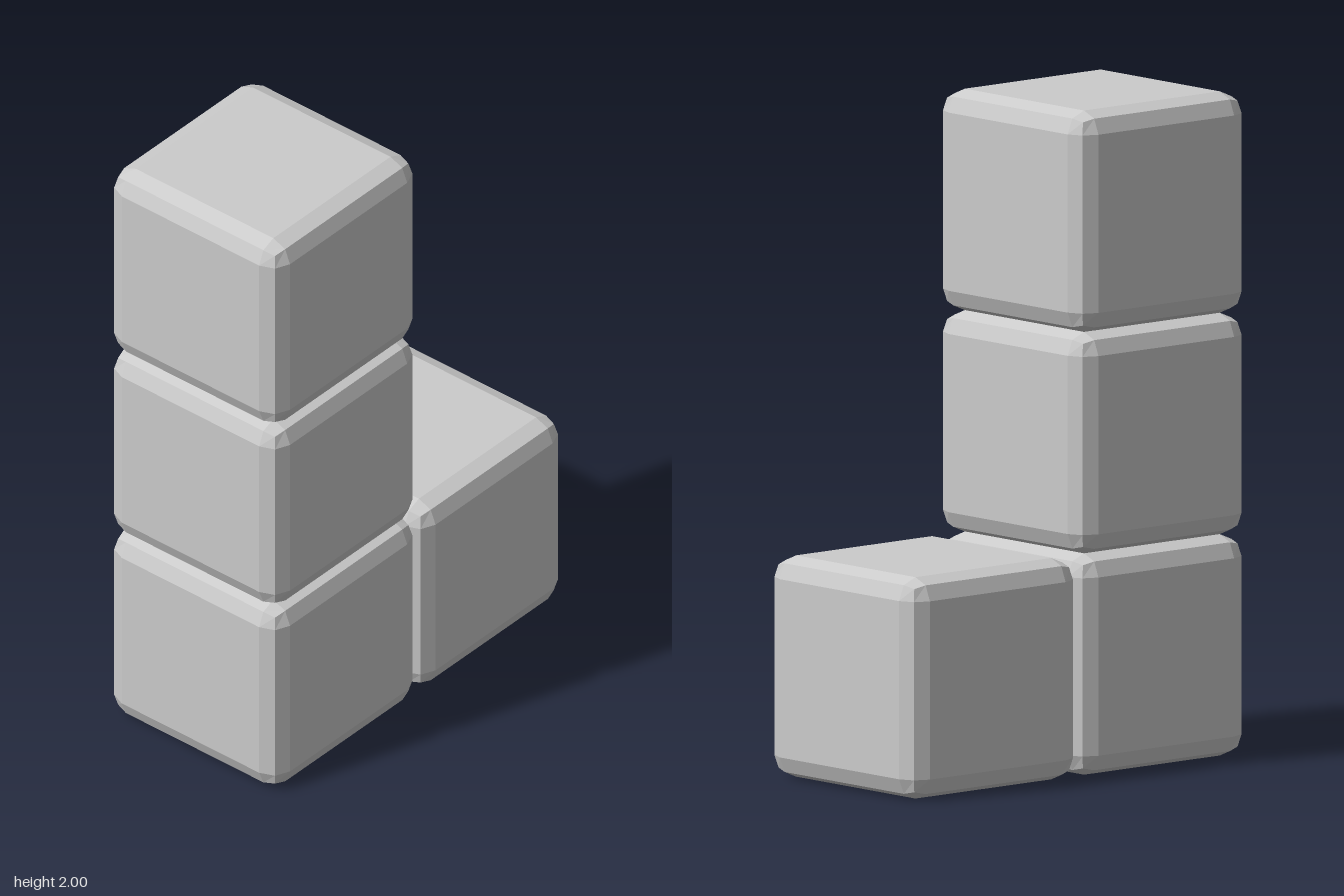
import * as THREE from 'three';
import { RoundedBoxGeometry } from 'three/addons/geometries/RoundedBoxGeometry.js';

const SIZE = 2 / 3;     // edge of one block
const BEVEL = 0.065;    // width of the two-step bevel

export function createModel() {
  const model = new THREE.Group();
  model.name = 'blockPiece';

  const material = new THREE.MeshStandardMaterial({ color: 0xcccccc, flatShading: true });

  // One faceted block shape shared by all four cubes
  const block = new RoundedBoxGeometry(SIZE, SIZE, SIZE, 1, BEVEL);
  block.computeVertexNormals();

  const addBlock = (name, level, z) => {
    const mesh = new THREE.Mesh(block, material);
    mesh.name = name;
    mesh.position.set(0, (level + 0.5) * SIZE, z);
    model.add(mesh);
  };

  // Front column of three, with a single foot block behind it
  ['bottomBlock', 'middleBlock', 'topBlock'].forEach((name, i) => addBlock(name, i, SIZE / 2));
  addBlock('footBlock', 0, -SIZE / 2);

  return model;
}
